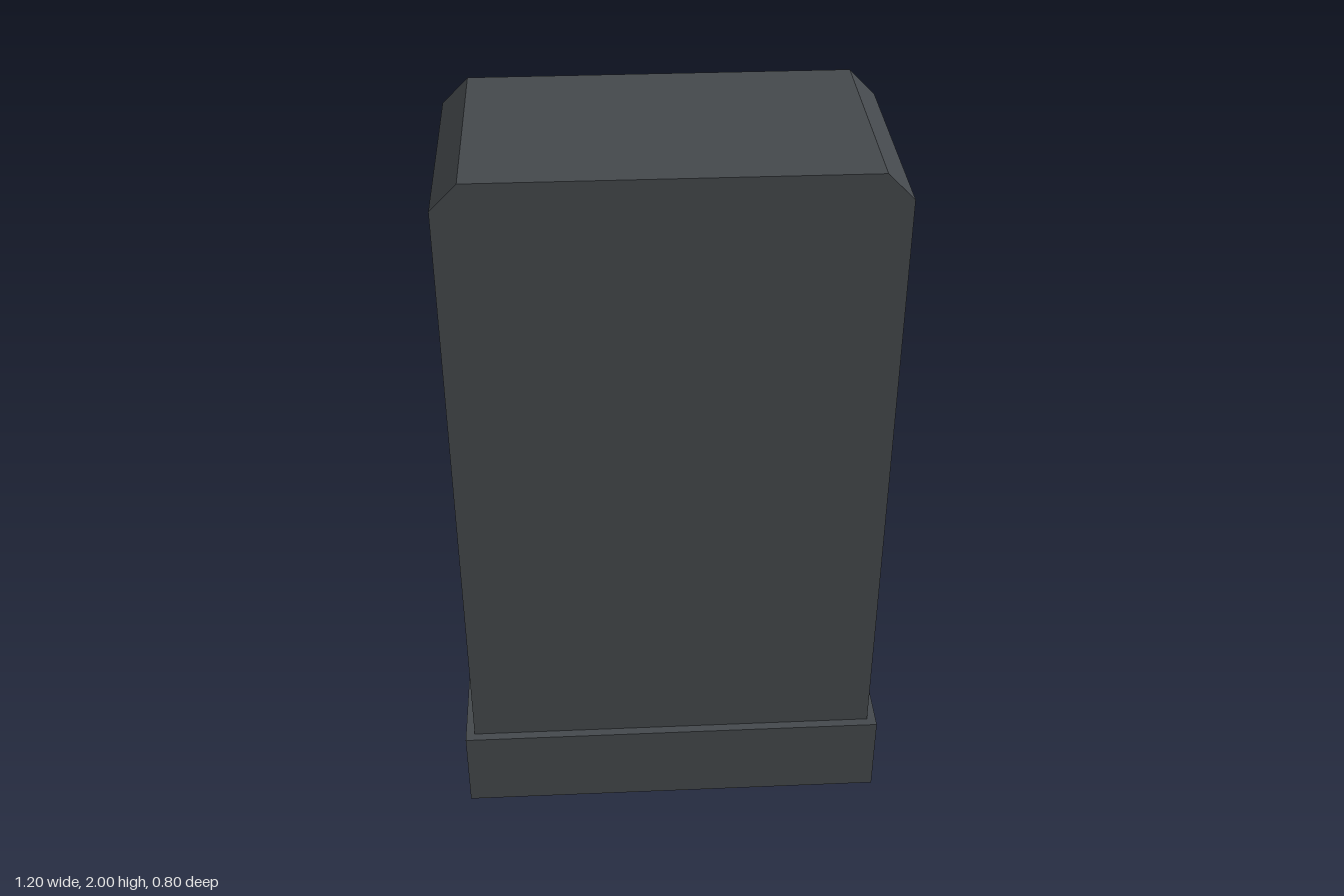
import * as THREE from 'three';
import { toCreasedNormals } from 'three/addons/utils/BufferGeometryUtils.js';

const W = 0.575, D = 0.375;            // body half width and half depth
const STEP_Y = 1.3, POCKET_Y = 1.1;    // ledge height and pocket floor
const BACK_Z = -0.255;                 // back face above the ledge

export function createModel() {
  const group = new THREE.Group();
  const charcoal = new THREE.MeshStandardMaterial({ color: 0x45494d });
  charcoal.name = 'charcoal';

  const add = (name, geometry, y = 0, z = 0) => {
    const mesh = new THREE.Mesh(geometry, charcoal);
    mesh.name = name;
    mesh.position.set(0, y, z);
    group.add(mesh);
  };
  const box = (name, w, y0, y1, d) =>
    add(name, new THREE.BoxGeometry(w, y1 - y0, d), (y0 + y1) / 2);

  // Plinth and plain lower body
  box('base', 1.2, 0, 0.24, 0.8);
  box('lowerBody', W * 2, 0.24, POCKET_Y, D * 2);

  // Ledge layer: plan outline with three round pockets open to the back
  const r = 0.123, cy = 0.315;
  const a = Math.asin((D - cy) / r);
  const plan = new THREE.Shape();
  plan.moveTo(-W, -D);
  plan.lineTo(W, -D);
  plan.lineTo(W, D);
  for (const cx of [0.383, 0, -0.383]) {
    plan.lineTo(cx + r * Math.cos(a), D);
    plan.absarc(cx, cy, r, a, Math.PI - a, true);
  }
  plan.lineTo(-W, D);
  plan.closePath();
  const ledge = new THREE.ExtrudeGeometry(plan, {
    depth: STEP_Y - POCKET_Y, bevelEnabled: false, curveSegments: 32,
  });
  ledge.rotateX(-Math.PI / 2);
  add('pocketLedge', toCreasedNormals(ledge, 0.6), POCKET_Y);

  // Upper body with chamfered top corners
  const face = new THREE.Shape([
    [-W, STEP_Y], [W, STEP_Y], [W, 1.93], [0.505, 2], [-0.505, 2], [-W, 1.93],
  ].map(([x, y]) => new THREE.Vector2(x, y)));
  const upper = new THREE.ExtrudeGeometry(face, { depth: D - BACK_Z, bevelEnabled: false });
  add('upperBody', upper, 0, BACK_Z);

  return group;
}
